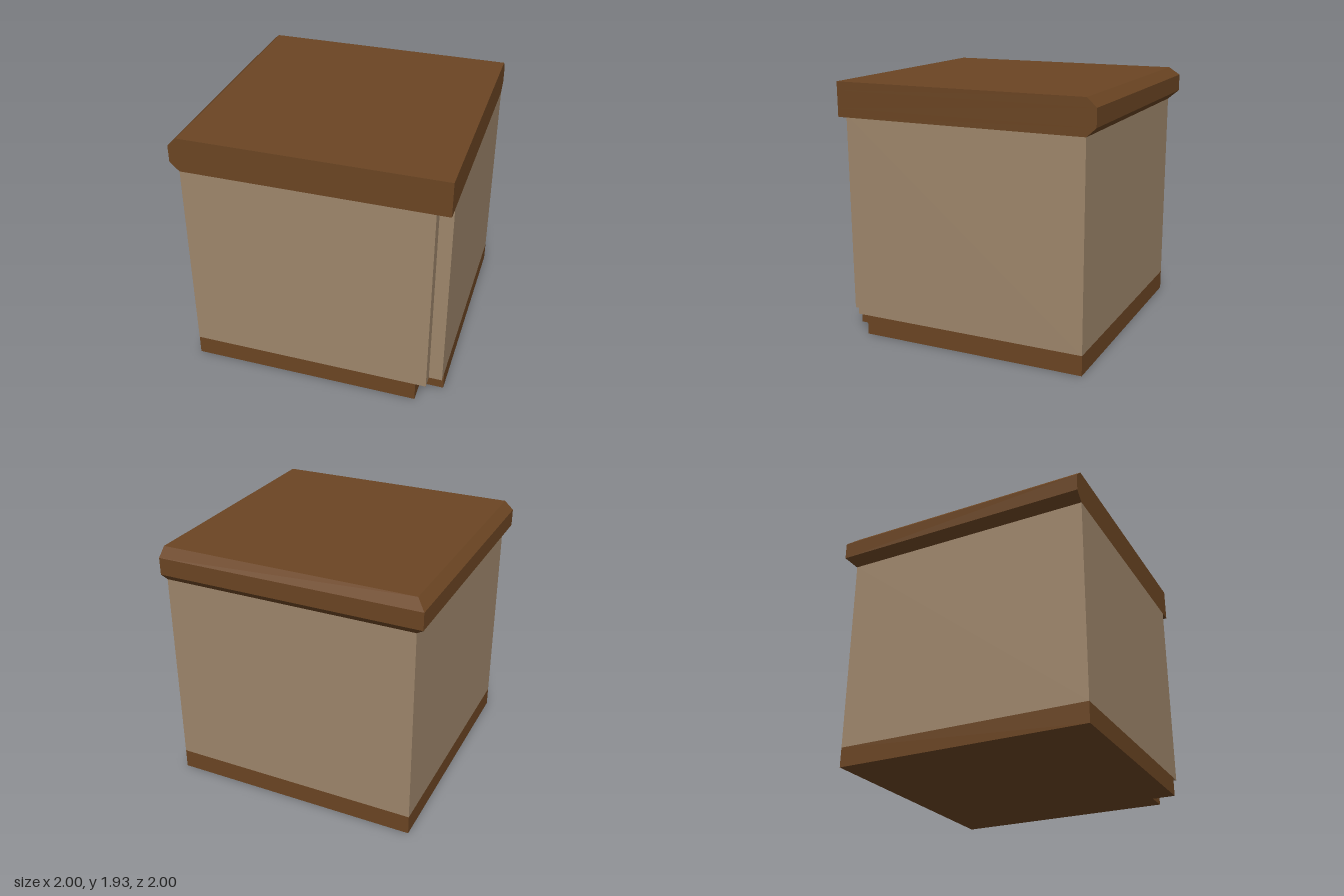
import * as THREE from 'three';

const BACK = -0.93; // plane of the back and right-hand faces

function paint(name, color) {
  const material = new THREE.MeshStandardMaterial({ color });
  material.name = name;
  return material;
}

// Square block whose front left corner (+x, +z) is notched
function notchedBlock(name, material, notch, y0, y1) {
  const shape = new THREE.Shape([
    [BACK, -1], [notch, -1], [notch, -notch], [1, -notch], [1, -BACK], [BACK, -BACK],
  ].map(([x, y]) => new THREE.Vector2(x, y)));
  const geometry = new THREE.ExtrudeGeometry(shape, { depth: y1 - y0, bevelEnabled: false });
  geometry.rotateX(-Math.PI / 2).translate(0, y0, 0);
  const mesh = new THREE.Mesh(geometry, material);
  mesh.name = name;
  return mesh;
}

// Slab with chamfered, mitred edges on -x and -z, cut flush on +x and +z
function chamferedTop(name, material) {
  const levels = [[1.67, 0.07], [1.735, 0], [1.865, 0], [1.93, 0.07]]; // height, inset
  const box = new THREE.BoxGeometry(2, 3, 2, 1, 3, 1);
  const pos = box.attributes.position;
  for (let i = 0; i < pos.count; i++) {
    const [y, inset] = levels[Math.round(pos.getY(i) + 1.5)];
    const x = pos.getX(i), z = pos.getZ(i);
    pos.setXYZ(i, x < 0 ? x + inset : x, y, z < 0 ? z + inset : z);
  }
  const geometry = box.toNonIndexed();
  geometry.computeVertexNormals();
  const mesh = new THREE.Mesh(geometry, material);
  mesh.name = name;
  return mesh;
}

export function createModel() {
  const darkWood = paint('dark wood', 0x6b4523);
  const paleWood = paint('pale wood', 0x9e866b);

  const group = new THREE.Group();
  group.name = 'cornerCabinet';
  group.add(
    notchedBlock('base', darkWood, 0.82, 0, 0.15),
    notchedBlock('body', paleWood, 0.9, 0.15, 1.67),
    chamferedTop('countertop', darkWood),
  );
  return group;
}
